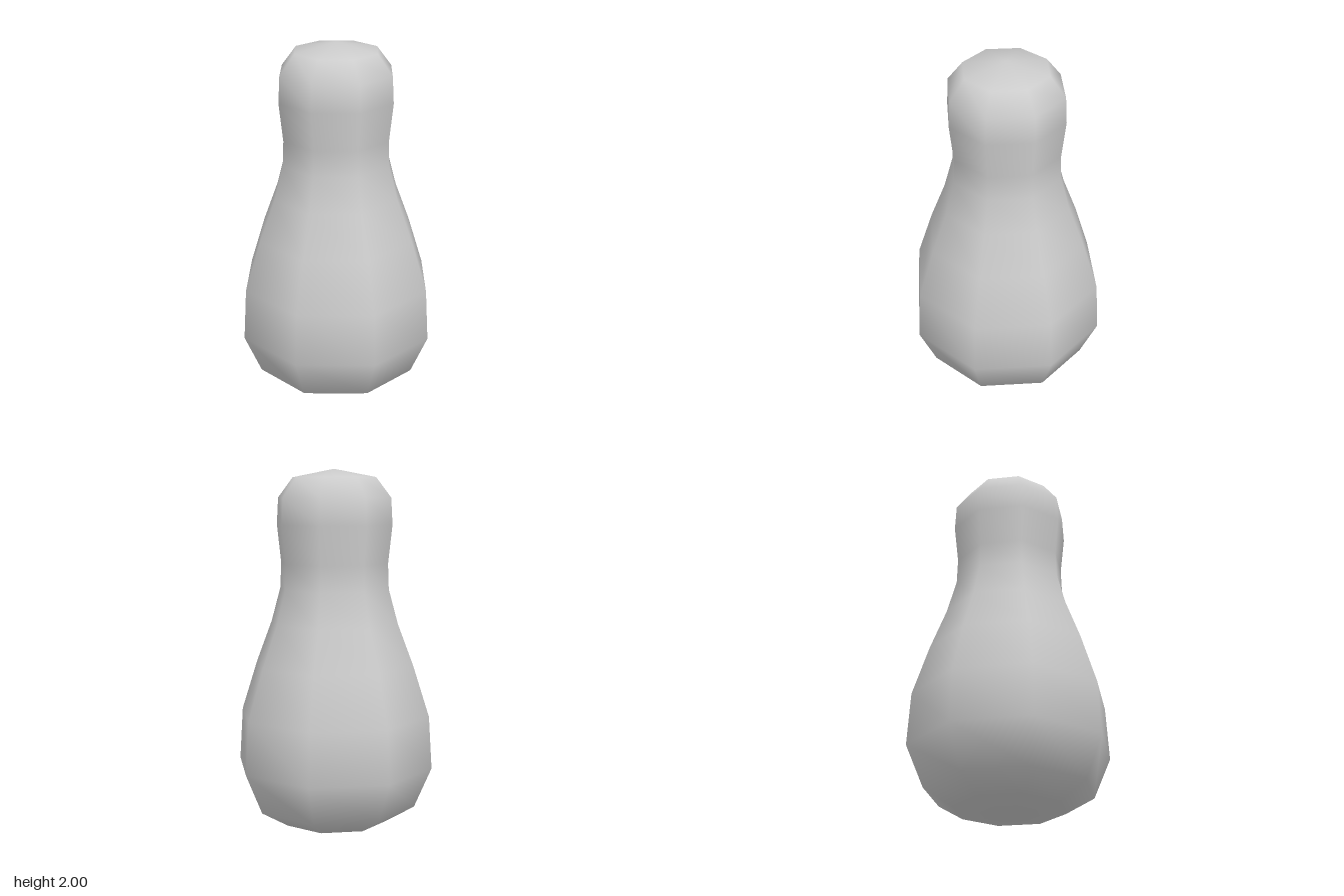
import * as THREE from 'three';

export function createModel() {
  const group = new THREE.Group();
  group.name = 'pin';

  // Profile from base to crown: [radius, height]
  const profile = [
    [0, 0], [0.3, 0.04], [0.46, 0.135], [0.556, 0.36], [0.538, 0.65],
    [0.448, 0.93], [0.36, 1.16], [0.308, 1.35], [0.303, 1.49],
    [0.326, 1.7], [0.318, 1.845], [0.234, 1.955], [0, 2],
  ].map(([r, y]) => new THREE.Vector2(r, y));

  // Eight-sided smooth body, corners on the x and z axes
  const geometry = new THREE.LatheGeometry(profile, 8);

  // Poles share one straight up or down normal
  const { position, normal } = geometry.attributes;
  for (let i = 0; i < position.count; i++) {
    if (Math.hypot(position.getX(i), position.getZ(i)) < 1e-6) {
      normal.setXYZ(i, 0, position.getY(i) > 1 ? 1 : -1, 0);
    }
  }

  const body = new THREE.Mesh(geometry, new THREE.MeshStandardMaterial({ color: 0xcccccc }));
  body.name = 'body';
  group.add(body);
  return group;
}
